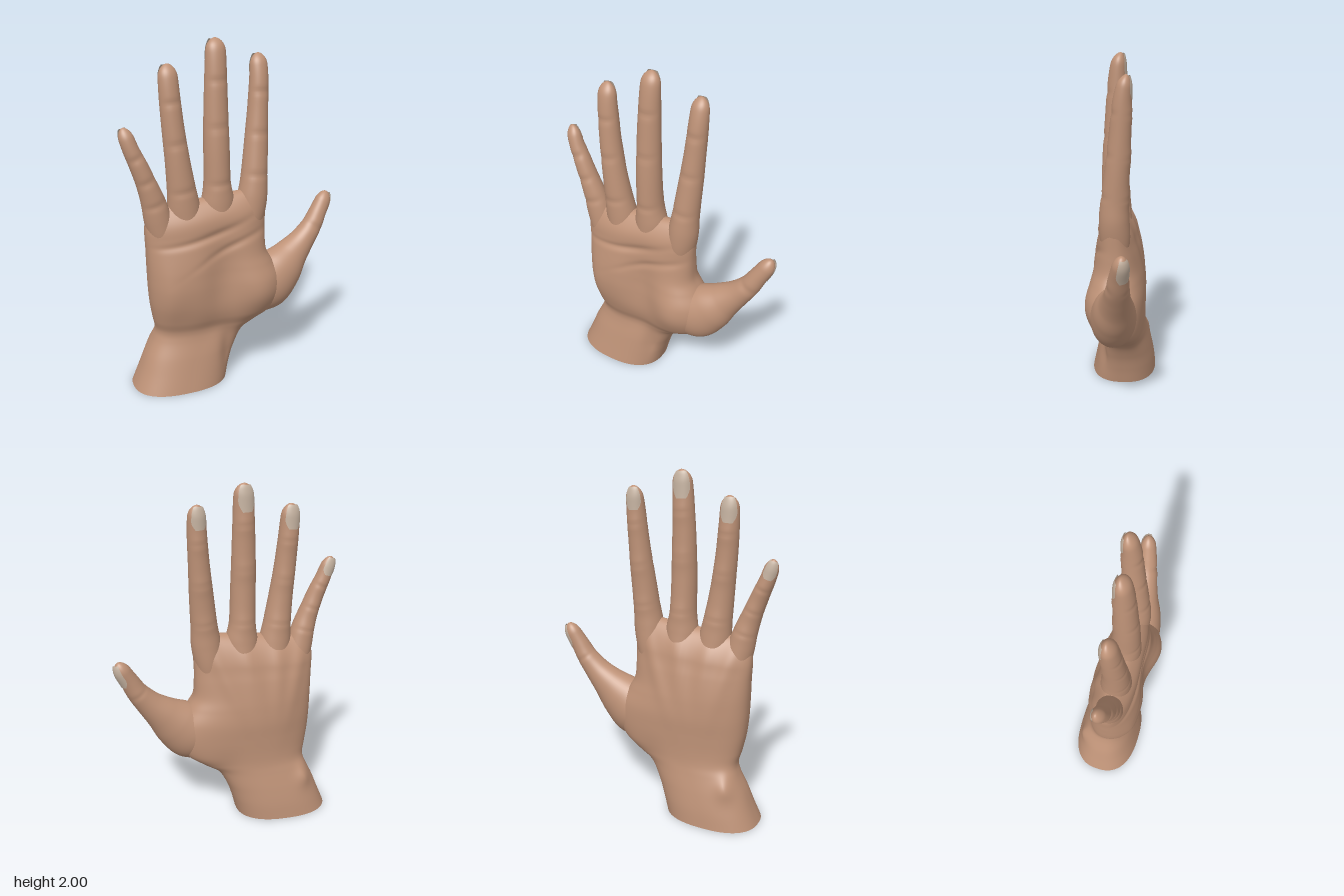
import * as THREE from 'three';
import { mergeVertices } from 'three/addons/utils/BufferGeometryUtils.js';

const skin = new THREE.MeshStandardMaterial({ color: 0xbe9277, side: THREE.DoubleSide });
skin.name = 'skin';
const nail = new THREE.MeshStandardMaterial({ color: 0xc6b3a1, side: THREE.DoubleSide });
nail.name = 'nail';

const bell = (v, s) => Math.exp(-(v * v) / (s * s));
const power = (v, e) => Math.sign(v) * Math.abs(v) ** e;

// Rounded tube through sections [x, y, z, halfWidth, halfDepth], closed by a dome at its end.
// Returns a function (t, angle, domeAmount, grow) -> point; angle 0 is +x, PI/2 the palm side.
function tube(sections, { level = false, exponent = 1, domeWidth = 1, deform }) {
  const curve = pts => new THREE.CatmullRomCurve3(pts, false, 'catmullrom', 0.5);
  const path = curve(sections.map(s => new THREE.Vector3(s[0], s[1], s[2])));
  const size = curve(sections.map(s => new THREE.Vector3(s[3], s[4], 0)));
  const domeStart = (sections.length - 2) / (sections.length - 1);
  const point = (t, a, domeAmount = 1, grow = 0) => {
    const c = path.getPoint(t), r = size.getPoint(t);
    const T = level ? new THREE.Vector3(0, 1, 0) : path.getTangent(t);
    const side = new THREE.Vector3().crossVectors(T, new THREE.Vector3(0, 0, 1)).normalize();
    const depth = new THREE.Vector3().crossVectors(side, T).normalize();
    const u = Math.max(0, (t - domeStart) / (1 - domeStart));
    const shrink = domeAmount * (1 - Math.sqrt(Math.max(0, 1 - u * u)));
    const w = r.x * (1 - domeWidth * shrink) + grow;
    const d = r.y * (1 - shrink) + grow;
    const p = c.clone()
      .addScaledVector(side, w * power(Math.cos(a), exponent))
      .addScaledVector(depth, d * power(Math.sin(a), exponent));
    deform(p, Math.sin(a), c, 1 - shrink);
    return p;
  };
  return { point, domeStart };
}

// Grid of points (row along the part, column around it) turned into a smooth surface.
function surface(rows, cols, fn) {
  const pos = [], idx = [];
  for (let i = 0; i <= rows; i++)
    for (let j = 0; j <= cols; j++) pos.push(...fn(i / rows, j / cols).toArray());
  for (let i = 0; i < rows; i++)
    for (let j = 0; j < cols; j++) {
      const a = i * (cols + 1) + j, b = a + cols + 1;
      idx.push(a, b, a + 1, b, b + 1, a + 1);
    }
  let geo = new THREE.BufferGeometry();
  geo.setAttribute('position', new THREE.Float32BufferAttribute(pos, 3));
  geo.setIndex(idx);
  geo = mergeVertices(geo, 1e-5);
  geo.computeVertexNormals();
  return geo;
}

function skinMesh(name, part, rows, cols) {
  const body = 0.85;
  const geo = surface(rows, cols, (v, h) => {
    const t = v < body ? (v / body) * part.domeStart
      : part.domeStart + (1 - part.domeStart) * Math.sin(((v - body) / (1 - body)) * Math.PI / 2);
    return part.point(t, h * Math.PI * 2);
  });
  const mesh = new THREE.Mesh(geo, skin);
  mesh.name = name;
  return mesh;
}

// Curved plate lying on the end of a finger, rounded at the cuticle
function nailMesh(name, part, facing, length) {
  const start = part.domeStart - length, end = part.domeStart + (1 - part.domeStart) * 0.95;
  const geo = surface(14, 12, (v, h) => {
    const half = 0.9 * Math.sqrt(Math.min(1, 0.25 + v * 3));
    return part.point(start + (end - start) * v, facing + (h * 2 - 1) * half, 0.55, 0.003);
  });
  const mesh = new THREE.Mesh(geo, nail);
  mesh.name = name;
  return mesh;
}

// Creases on the palm side and knuckle swellings on the back at each joint height
const jointed = joints => (p, s, c) => {
  for (const y of joints) {
    if (s > 0) p.z -= 0.005 * s * bell(c.y - y, 0.018);
    else p.z += 0.005 * s * bell(c.y - y, 0.05) - 0.003 * s * bell(c.y - y, 0.012);
  }
};

// Palm and wrist relief: [x, y, spreadX, spreadY, outward amount]
const frontRelief = [
  [-0.1, 0.68, 0.12, 0.24, -0.048], [-0.44, 0.6, 0.1, 0.18, 0.02], [0.13, 0.56, 0.12, 0.15, 0.028],
  [-0.08, 0.2, 0.04, 0.12, -0.018], [-0.15, 0.38, 0.12, 0.07, -0.01], [-0.2, 1.04, 0.3, 0.06, 0.008],
];
const backRelief = [[-0.47, 0.26, 0.06, 0.07, 0.03], [0.02, 0.36, 0.1, 0.1, -0.01]];
const knuckles = [-0.45, -0.3, -0.1, 0.11];

function palmRelief(p, s, c, open) {
  const k = Math.min(1, Math.abs(s) * 1.5) * open;
  const { x, y } = p;
  if (s > 0) {
    for (const [bx, by, sx, sy, amt] of frontRelief) p.z += amt * k * bell(x - bx, sx) * bell(y - by, sy);
    // Heart line and head line
    p.z -= 0.011 * k * bell(y - (0.94 + 0.2 * (x + 0.15) + 0.25 * (x + 0.15) ** 2), 0.022) * bell(x + 0.22, 0.25);
    p.z -= 0.009 * k * bell(y - (0.88 + 0.3 * x - 0.4 * x * x), 0.022) * bell(x + 0.03, 0.2);
  } else {
    for (const [bx, by, sx, sy, amt] of backRelief) p.z -= amt * k * bell(x - bx, sx) * bell(y - by, sy);
    // Tendons fanning out to the knuckles
    for (const kx of knuckles) {
      const f = THREE.MathUtils.clamp((y - 0.4) / 0.7, 0, 1);
      const tx = THREE.MathUtils.lerp(-0.22 + kx * 0.15, kx, f);
      p.z -= 0.01 * k * bell(x - tx, 0.045) * bell(y - 0.95, 0.3);
    }
  }
  // Knuckle row slopes down towards the little finger
  p.y += 0.09 * (x + 0.17) * THREE.MathUtils.smoothstep(y, 0.8, 1.1);
}

export function createModel() {
  const hand = new THREE.Group();
  hand.name = 'hand';

  // Palm, thumb mound and open wrist: [y, xMin, xMax, zBack, zFront]
  const palmSections = [
    [0.005, -0.62, -0.06, -0.203, 0.195], [0.1, -0.58, -0.035, -0.193, 0.175], [0.2, -0.54, 0.0, -0.175, 0.155],
    [0.3, -0.492, 0.06, -0.153, 0.135], [0.36, -0.476, 0.155, -0.143, 0.138], [0.43, -0.49, 0.255, -0.14, 0.165],
    [0.53, -0.507, 0.3, -0.14, 0.19], [0.63, -0.515, 0.285, -0.14, 0.2], [0.72, -0.518, 0.228, -0.131, 0.195],
    [0.79, -0.52, 0.19, -0.12, 0.185], [0.88, -0.522, 0.182, -0.102, 0.168], [0.97, -0.526, 0.183, -0.08, 0.15],
    [1.137, -0.53, 0.195, -0.05, 0.132],
  ].map(([y, x0, x1, z0, z1]) => [(x0 + x1) / 2, y, (z0 + z1) / 2, (x1 - x0) / 2, (z1 - z0) / 2]);
  const palm = tube(palmSections, { level: true, exponent: 0.82, domeWidth: 0.07, deform: palmRelief });
  hand.add(skinMesh('palmAndWrist', palm, 120, 128));

  // Fingers, from roots hidden in the palm to the tips
  const fingers = {
    index: {
      joints: [1.24, 1.47, 1.7],
      sections: [
        [0.07, 0.82, 0.022, 0.065, 0.065], [0.095, 0.98, 0.03, 0.08, 0.085], [0.11, 1.1, 0.034, 0.086, 0.086],
        [0.122, 1.22, 0.03, 0.076, 0.078], [0.138, 1.4, 0.015, 0.068, 0.069], [0.152, 1.58, 0.0, 0.059, 0.061],
        [0.162, 1.74, -0.01, 0.054, 0.053], [0.165, 1.84, -0.022, 0.05, 0.043], [0.165, 1.905, -0.036, 0.042, 0.028]],
    },
    middle: {
      joints: [1.22, 1.53, 1.78],
      sections: [
        [-0.11, 0.82, 0.022, 0.065, 0.065], [-0.103, 0.98, 0.028, 0.085, 0.09], [-0.1, 1.1, 0.036, 0.094, 0.088],
        [-0.104, 1.22, 0.04, 0.076, 0.08], [-0.107, 1.42, 0.042, 0.072, 0.072], [-0.107, 1.62, 0.036, 0.067, 0.064],
        [-0.104, 1.8, 0.03, 0.061, 0.056], [-0.101, 1.93, 0.022, 0.056, 0.045], [-0.1, 2.0, 0.008, 0.048, 0.03]],
    },
    ring: {
      joints: [1.2, 1.46, 1.68],
      sections: [
        [-0.27, 0.8, 0.025, 0.065, 0.065], [-0.287, 0.96, 0.034, 0.085, 0.088], [-0.3, 1.08, 0.041, 0.092, 0.085],
        [-0.314, 1.2, 0.047, 0.08, 0.077], [-0.334, 1.37, 0.05, 0.068, 0.068], [-0.352, 1.54, 0.046, 0.061, 0.061],
        [-0.364, 1.7, 0.04, 0.057, 0.053], [-0.369, 1.81, 0.033, 0.053, 0.044], [-0.37, 1.88, 0.022, 0.045, 0.029]],
    },
    little: {
      joints: [1.14, 1.27, 1.4],
      sections: [
        [-0.39, 0.76, 0.03, 0.055, 0.055], [-0.425, 0.92, 0.038, 0.074, 0.077], [-0.451, 1.04, 0.045, 0.077, 0.075],
        [-0.477, 1.15, 0.052, 0.067, 0.065], [-0.513, 1.26, 0.056, 0.055, 0.056], [-0.55, 1.36, 0.055, 0.049, 0.05],
        [-0.583, 1.44, 0.051, 0.044, 0.044], [-0.605, 1.505, 0.046, 0.041, 0.037], [-0.623, 1.565, 0.037, 0.035, 0.025]],
    },
  };
  for (const [name, { sections, joints }] of Object.entries(fingers)) {
    const finger = tube(sections, { deform: jointed(joints) });
    hand.add(skinMesh(name + 'Finger', finger, 90, 36), nailMesh(name + 'Nail', finger, -1.75, 0.08));
  }

  // Thumb, growing out of the mound
  const thumb = tube([
    [0.0, 0.46, 0.03, 0.06, 0.07], [0.1, 0.495, 0.033, 0.125, 0.105], [0.2, 0.55, 0.034, 0.168, 0.13],
    [0.3, 0.63, 0.025, 0.145, 0.117], [0.38, 0.705, 0.01, 0.105, 0.092], [0.45, 0.775, 0.0, 0.078, 0.074],
    [0.515, 0.855, -0.007, 0.062, 0.061], [0.56, 0.935, -0.018, 0.053, 0.052], [0.596, 1.0, -0.028, 0.048, 0.045],
    [0.622, 1.06, -0.036, 0.04, 0.036],
  ], { deform: jointed([0.86]) });
  hand.add(skinMesh('thumb', thumb, 90, 48), nailMesh('thumbNail', thumb, -0.55, 0.11));

  return hand;
}
